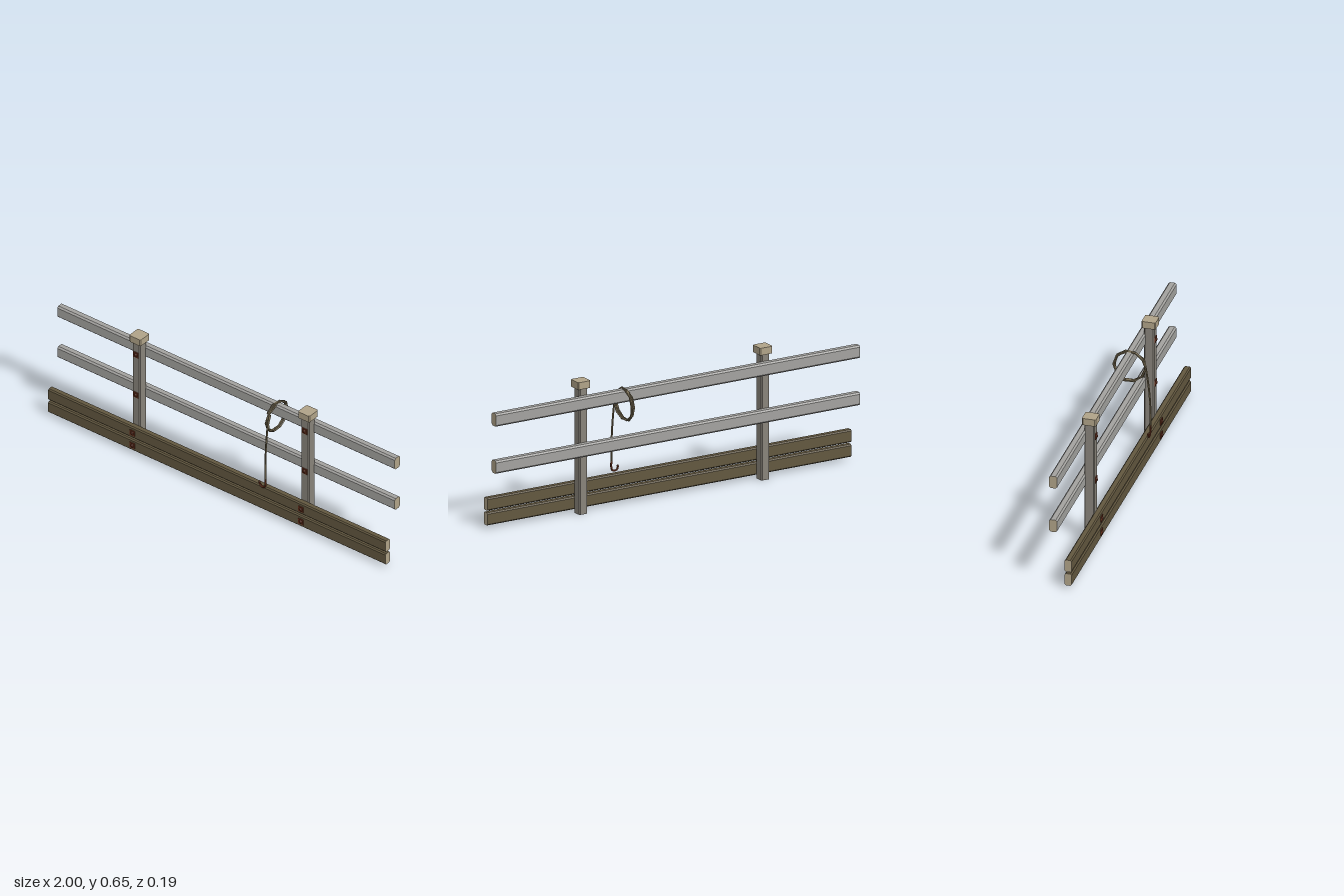
import * as THREE from 'three';

const mat = (name, color, extra = {}) => {
  const m = new THREE.MeshStandardMaterial({ color, flatShading: true, ...extra });
  m.name = name;
  return m;
};

// Rectangle with cut corners, centred on the origin
function chamferedRect(w, h, c) {
  const x = w / 2, y = h / 2;
  return new THREE.Shape([
    [-x + c, -y], [x - c, -y], [x, -y + c], [x, y - c],
    [x - c, y], [-x + c, y], [-x, y - c], [-x, -y + c],
  ].map(([a, b]) => new THREE.Vector2(a, b)));
}

// Chamfered bar, centred, running along z
function bar(w, h, length, c) {
  const g = new THREE.ExtrudeGeometry(chamferedRect(w, h, c), { depth: length, bevelEnabled: false });
  return g.translate(0, 0, -length / 2);
}

export function createModel() {
  const root = new THREE.Group();
  root.name = 'fence';

  const paleWood = mat('paleWood', 0xb0a388);
  const railGrey = mat('railGrey', 0xa3a29f);
  const postGrey = mat('postGrey', 0x88837a);
  const plankBrown = mat('plankBrown', 0x62573f);
  const rust = mat('rust', 0x662f1c);
  const rope = mat('rope', 0x72674e, { side: THREE.DoubleSide });

  const add = (name, geometry, material, x = 0, y = 0, z = 0, parent = root) => {
    const m = new THREE.Mesh(geometry, material);
    m.name = name;
    m.position.set(x, y, z);
    parent.add(m);
    return m;
  };

  // Back rails and front planks, with pale sawn ends
  const railGeo = bar(0.04, 0.063, 2, 0.008).rotateY(Math.PI / 2);
  const plankGeo = bar(0.034, 0.062, 2, 0.006).rotateY(Math.PI / 2);
  add('topRail', railGeo, [paleWood, railGrey], 0, 0.552, -0.01);
  add('middleRail', railGeo, [paleWood, railGrey], 0, 0.321, -0.01);
  add('upperPlank', plankGeo, [paleWood, plankBrown], 0, 0.119, 0.063);
  add('lowerPlank', plankGeo, [paleWood, plankBrown], 0, 0.047, 0.063);

  // Posts with caps and bolts
  const postGeo = bar(0.046, 0.05, 0.625, 0.005).rotateX(-Math.PI / 2);
  const capGeo = bar(0.068, 0.068, 0.035, 0.005).rotateX(-Math.PI / 2);
  const plateGeo = new THREE.CylinderGeometry(0.02, 0.022, 0.006, 4).rotateY(Math.PI / 4).rotateX(Math.PI / 2);
  const nutGeo = new THREE.CylinderGeometry(0.004, 0.011, 0.006, 6).rotateX(Math.PI / 2);
  for (const side of [-1, 1]) {
    const post = new THREE.Group();
    post.name = side > 0 ? 'leftPost' : 'rightPost';
    post.position.x = side * 0.5;
    root.add(post);
    add('postBeam', postGeo, postGrey, 0, 0.3125, 0.027, post);
    add('postCap', capGeo, paleWood, 0, 0.635, 0.028, post);
    for (const [y, z] of [[0.55, 0.052], [0.321, 0.052], [0.118, 0.08], [0.047, 0.08]]) {
      add('boltPlate', plateGeo, rust, 0, y, z + 0.001, post);
      add('boltNut', nutGeo, rust, 0, y, z + 0.007, post);
    }
  }

  // Rope coiled over the top rail
  const turns = 3, steps = 10, coil = [];
  for (let i = 0; i <= turns * steps; i++) {
    const a = 0.6 + (i / steps) * Math.PI * 2;
    const r = 0.077 + 0.003 * Math.sin(i * 2.3);
    coil.push(new THREE.Vector3(
      0.277 + 0.016 * (i / (turns * steps)) + 0.004 * Math.sin(a),
      0.508 + r * Math.sin(a),
      -0.011 + r * Math.cos(a)));
  }
  add('ropeCoil', new THREE.TubeGeometry(new THREE.CatmullRomCurve3(coil), turns * steps, 0.005, 5), rope);

  // Hanging end of the rope
  const hang = [
    [0.293, 0.552, 0.056], [0.292, 0.5, 0.066], [0.293, 0.43, 0.076],
    [0.294, 0.35, 0.084], [0.295, 0.28, 0.087], [0.295, 0.2, 0.087],
  ].map((p) => new THREE.Vector3(...p));
  add('ropeEnd', new THREE.TubeGeometry(new THREE.CatmullRomCurve3(hang), 10, 0.005, 5), rope);

  // Rusty hook, opening upward
  const hook = [new THREE.Vector3(0.295, 0.207, 0.087)];
  for (let i = 0; i <= 6; i++) {
    const a = -(i / 6) * Math.PI * 1.1;
    hook.push(new THREE.Vector3(0.277 + 0.018 * Math.cos(a), 0.171 + 0.018 * Math.sin(a), 0.087));
  }
  add('hook', new THREE.TubeGeometry(new THREE.CatmullRomCurve3(hook), 14, 0.005, 5), rust);
  const tip = hook[hook.length - 1];
  add('hookTip', new THREE.IcosahedronGeometry(0.0055), rust, tip.x, tip.y, tip.z);

  return root;
}
